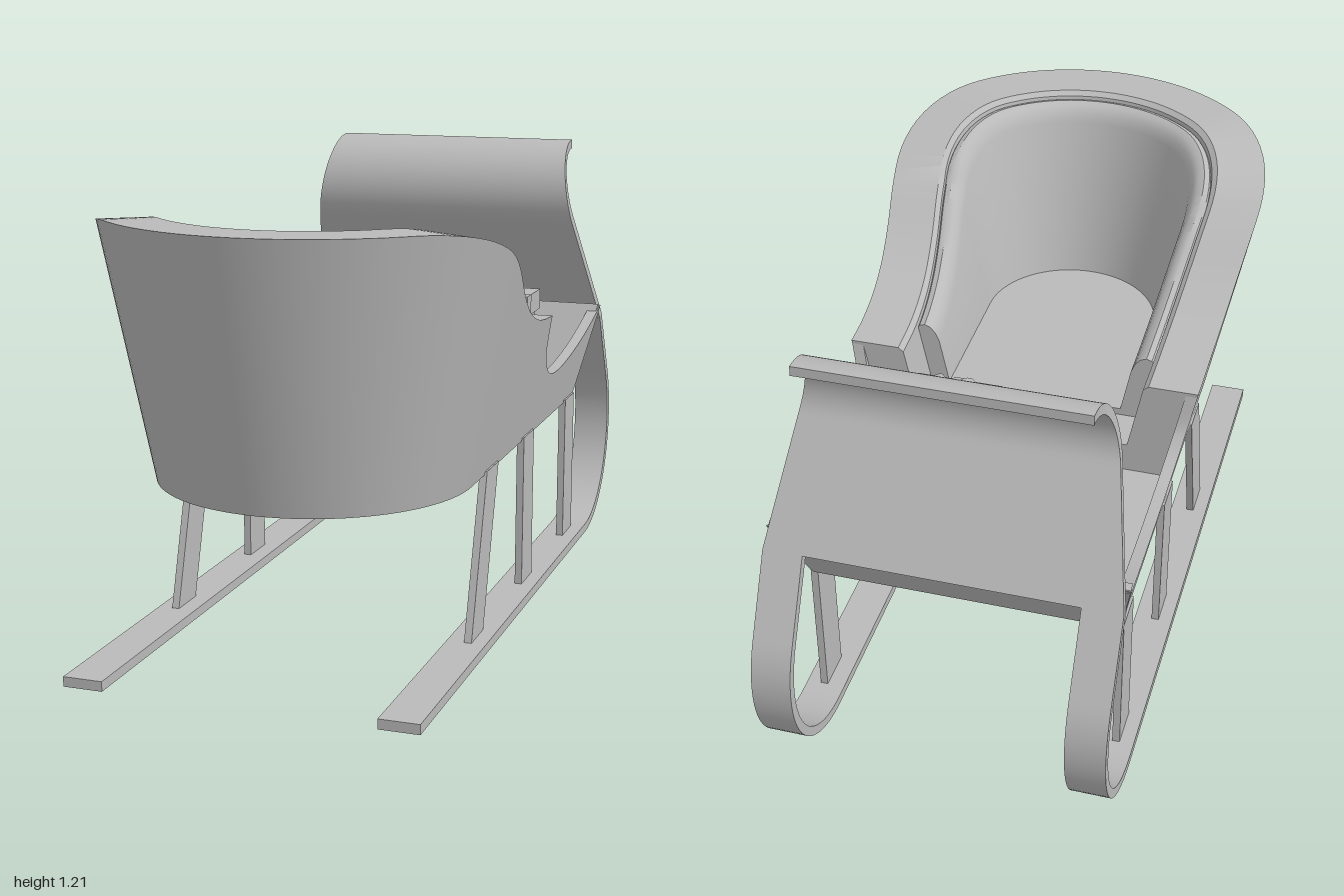
import * as THREE from 'three';
import { toCreasedNormals } from 'three/addons/utils/BufferGeometryUtils.js';

const grey = new THREE.MeshStandardMaterial({ color: 0xbababa });
grey.name = 'plain grey';

const BASE = 0.44, R = 0.415, FLARE = 0.2, ZC = 0.445, SIDE = Math.PI / 2;

function add(parent, name, geometry) {
  const mesh = new THREE.Mesh(geometry, grey);
  mesh.name = name;
  parent.add(mesh);
  return mesh;
}

// Solid skin over a row of closed, convex cross-sections
function loft(sections, crease = 0.6) {
  const n = sections[0].length, pos = [];
  const tri = (a, b, c) => pos.push(...a, ...b, ...c);
  for (let i = 0; i < sections.length - 1; i++) {
    for (let j = 0; j < n; j++) {
      const k = (j + 1) % n, s = sections[i], t = sections[i + 1];
      tri(s[j], s[k], t[k]);
      tri(s[j], t[k], t[j]);
    }
  }
  const first = sections[0], last = sections[sections.length - 1];
  for (let j = 1; j < n - 1; j++) {
    tri(first[0], first[j + 1], first[j]);
    tri(last[0], last[j], last[j + 1]);
  }
  const g = new THREE.BufferGeometry();
  g.setAttribute('position', new THREE.Float32BufferAttribute(pos, 3));
  return toCreasedNormals(g, crease);
}

// Bent board following a [z, y] path; span gives its x range at a height
function board(path, thick, span) {
  return loft(path.map(([z, y], i) => {
    const p = path[Math.max(i - 1, 0)], q = path[Math.min(i + 1, path.length - 1)];
    const len = Math.hypot(q[0] - p[0], q[1] - p[1]);
    const nz = (q[1] - p[1]) / len * thick / 2, ny = -(q[0] - p[0]) / len * thick / 2;
    const [x0, x1] = span(y);
    return [[x0, y - ny, z - nz], [x0, y + ny, z + nz], [x1, y + ny, z + nz], [x1, y - ny, z - nz]];
  }));
}

// Points on an arc in the z-y plane
function arc(cz, cy, r, a0, a1, steps) {
  return Array.from({ length: steps + 1 }, (_, i) => {
    const a = a0 + (a1 - a0) * i / steps;
    return [cz + r * Math.cos(a), cy + r * Math.sin(a)];
  });
}

// Rim heights along z: the tall seat and the low scoop
const curve = (zs, ys) => {
  const c = new THREE.CubicInterpolant(zs, ys, 1);
  return z => c.evaluate(z)[0];
};
const seatRim = curve([-0.1, 0, 0.1, 0.2, 0.3, 0.4, 0.5, 0.6, 0.7, 0.8, 0.9, 1.01],
  [0.79, 0.797, 0.817, 0.855, 0.915, 0.99, 1.048, 1.088, 1.115, 1.13, 1.132, 1.132]);
const scoopRim = curve([-0.8, -0.65, -0.5, -0.35, -0.27, -0.2, -0.15, -0.12, -0.1],
  [0.70, 0.64, 0.602, 0.585, 0.59, 0.615, 0.655, 0.70, 0.78]);

// Point on the flared wall of a column, moved inward by inset
function wallPoint(c, inset, y) {
  const r = R + FLARE * (y - BASE) - inset;
  return [r * Math.sin(c.a), y, c.z + r * Math.cos(c.a)];
}

// Columns running from the +x arm, around the seat back, to the -x arm
function seatColumns(zFront) {
  const arm = [], back = [];
  for (let i = 0; i < 20; i++) {
    const z = zFront + (ZC - zFront) * i / 20;
    arm.push({ a: SIDE, z, top: seatRim(z) });
  }
  for (let i = 0; i <= 48; i++) {
    const a = SIDE - Math.PI * i / 48;
    back.push({ a, z: ZC, top: seatRim(ZC + 0.55 * Math.cos(a)) });
  }
  return [...arm, ...back, ...arm.map(c => ({ ...c, a: -SIDE })).reverse()];
}

// Flat slab with a half-round rear end
function slab(r, zFront, y0, y1) {
  const s = new THREE.Shape();
  s.moveTo(r, -zFront);
  s.lineTo(-r, -zFront);
  s.lineTo(-r, -ZC);
  s.absarc(0, -ZC, r, Math.PI, Math.PI * 2, false);
  s.closePath();
  const g = new THREE.ExtrudeGeometry(s, { depth: y1 - y0, bevelEnabled: false, curveSegments: 40 });
  g.rotateX(-Math.PI / 2).translate(0, y0, 0);
  return toCreasedNormals(g, 0.6);
}

// Wrapped box with lid, ribbon bands and a four-loop bow
function gift(x, z, size, top, floor) {
  const g = new THREE.Group();
  g.name = 'gift';
  g.position.set(x, 0, z);
  const lidH = 0.06, h = top - lidH - floor, w = size * 0.92;
  const box = (name, a, b, c, y) => add(g, name, new THREE.BoxGeometry(a, b, c).translate(0, y, 0));
  box('giftBox', w, h, w, floor + h / 2);
  box('giftLid', size, lidH, size, top - lidH / 2);
  const band = size * 0.16;
  for (const turn of [0, SIDE]) {
    box('ribbonBand', band, h, w + 0.008, floor + h / 2).rotation.y = turn;
    box('lidRibbon', band, lidH + 0.006, size + 0.008, top - lidH / 2).rotation.y = turn;
  }
  const k = size / 0.29;
  const loop = new THREE.SplineCurve([[0.01, 0.015], [0.045, 0.05], [0.085, 0.055], [0.112, 0.035],
    [0.098, 0.012], [0.05, 0.006], [0.01, 0.006]].map(p => new THREE.Vector2(p[0] * k, p[1] * k)));
  const loopGeo = board(loop.getPoints(20).map(p => [p.x, p.y]), 0.005, () => [-0.026 * k, 0.026 * k]);
  for (let i = 0; i < 4; i++) {
    const m = add(g, 'bowLoop', loopGeo);
    m.position.y = top + 0.003;
    m.rotation.y = Math.PI / 4 + i * SIDE;
  }
  const knot = new THREE.CylinderGeometry(0.026 * k, 0.034 * k, 0.045 * k, 6);
  add(g, 'bowKnot', toCreasedNormals(knot, 0.3)).position.y = top + 0.0225 * k;
  return g;
}

export function createModel() {
  const model = new THREE.Group();
  model.name = 'sleigh';

  // Seat shell with its thick rim, and the padding inside it
  add(model, 'seatShell', loft(seatColumns(-0.1).map(c => [
    [0, BASE], [0, c.top], [0.135, c.top], [0.147, c.top - 0.012], [0.147, BASE]
  ].map(([inset, y]) => wallPoint(c, inset, y)))));
  add(model, 'seatPadding', loft(seatColumns(0.03).map(c => [
    [0.14, 0.57], [0.14, c.top - 0.035], [0.152, c.top - 0.02], [0.168, c.top - 0.015],
    [0.184, c.top - 0.022], [0.195, c.top - 0.04], [0.2, c.top - 0.065], [0.2, 0.57]
  ].map(([inset, y]) => wallPoint(c, inset, y)))));

  // Low scooped side walls
  for (const side of [1, -1]) {
    const columns = [];
    for (let i = 0; i <= 40; i++) {
      const z = -0.1 - 0.7 * (i / 40) ** 1.6;
      const y0 = Math.max(BASE, BASE + (-0.66 - z) * 0.26 / 0.14);
      const c = { a: side * SIDE, z }, top = Math.max(scoopRim(z), y0);
      columns.push([[0, y0], [0, top], [0.032, top], [0.032, y0]].map(([n, y]) => wallPoint(c, n, y)));
    }
    if (side > 0) columns.reverse();
    add(model, 'sideWall', loft(columns));
  }

  // Floor, seat and sloping front panel
  add(model, 'floor', slab(0.412, -0.66, BASE + 0.001, 0.5));
  add(model, 'seatBase', slab(0.4, -0.1, 0.46, 0.585));
  add(model, 'seatCushion', slab(0.27, 0.03, 0.57, 0.605));
  add(model, 'frontPanel', board([[-0.648, 0.445], [-0.788, 0.7]], 0.026, y => {
    const w = R + FLARE * (y - BASE) - 0.003;
    return [-w, w];
  }));

  // Curled dashboard, narrowing upward
  const lean = Math.atan2(0.507, 0.862), joint = [-0.838, 0.66];
  const curl = arc(-0.8, 1.045, 0.148, -lean, SIDE, 24);
  add(model, 'dashboard', board([joint, ...curl], 0.026, y => {
    const w = 0.46 - (y - 0.66) * 0.178;
    return [-w, w];
  }));

  // Runners and their struts
  const bend = arc(-0.69, 0.31, 0.297, -SIDE, -Math.PI - lean, 28);
  const struts = [[0.265, 0.397], [-0.11, -0.11], [-0.6, -0.6]];
  for (const side of [1, -1]) {
    const range = (a, b) => () => side > 0 ? [a, b] : [-b, -a];
    add(model, 'runner', board([[1, 0.013], ...bend, joint], 0.026, range(0.355, 0.46)));
    for (const [zTop, zFoot] of struts) {
      const [x0, x1] = range(0.402, 0.422)();
      const section = (y, z) => [[x0, y, z - 0.055], [x1, y, z - 0.055], [x1, y, z + 0.055], [x0, y, z + 0.055]];
      add(model, 'strut', loft([section(0.45, zTop), section(0.02, zFoot)]));
    }
  }

  // Gifts in the front bed
  for (const [x, z, size, top] of [[-0.242, -0.535, 0.148, 0.71], [-0.187, -0.347, 0.207, 0.725],
    [0.165, -0.51, 0.29, 0.765], [0.165, -0.243, 0.235, 0.735]]) {
    model.add(gift(x, z, size, top, 0.5));
  }
  return model;
}
